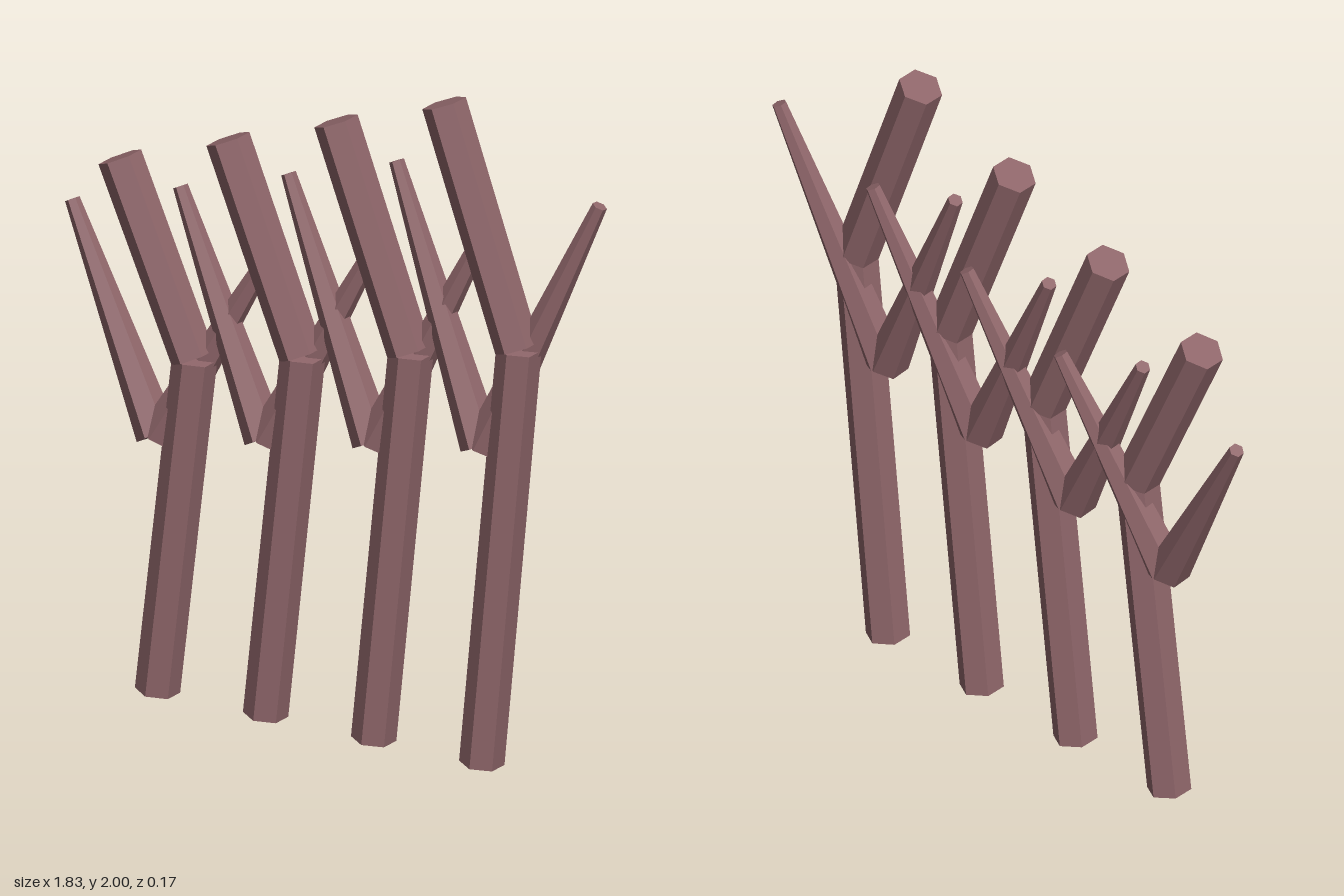
import * as THREE from 'three';

export function createModel() {
  const model = new THREE.Group();
  model.name = 'forkedPosts';
  const wood = new THREE.MeshStandardMaterial({ color: 0x8f666a, flatShading: true });
  wood.name = 'reddish brown wood';
  const up = new THREE.Vector3(0, 1, 0);

  // Six-sided log between two points, with square-cut ends
  function log(name, from, to, rFrom, rTo) {
    const a = new THREE.Vector3(...from), b = new THREE.Vector3(...to);
    const dir = b.clone().sub(a);
    const mesh = new THREE.Mesh(new THREE.CylinderGeometry(rTo, rFrom, dir.length(), 6), wood);
    mesh.name = name;
    mesh.position.copy(a).add(b).multiplyScalar(0.5);
    mesh.quaternion.setFromUnitVectors(up, dir.normalize());
    return mesh;
  }

  // Four posts in a row, each taller than the last
  for (let i = 0; i < 4; i++) {
    const s = 1 + 0.08 * i;
    const post = new THREE.Group();
    post.name = 'post' + (i + 1);
    post.position.x = -0.55 + 0.367 * i;
    post.add(
      log('trunk', [0, 0.007, 0.02], [0.126, 1.04 * s, 0.02], 0.065, 0.065),
      log('upperTrunk', [0.12, 1.04 * s, 0.02], [-0.128, 1.6 * s, 0.02], 0.065, 0.065)
    );
    // Tapering V-shaped fork leaning backwards
    for (const side of [-1, 1]) {
      post.add(log(side < 0 ? 'rightTwig' : 'leftTwig',
        [side * 0.005, 0.78 * s, 0.015], [side * 0.345, 1.403 * s, -0.066], 0.062, 0.022));
    }
    model.add(post);
  }
  return model;
}
